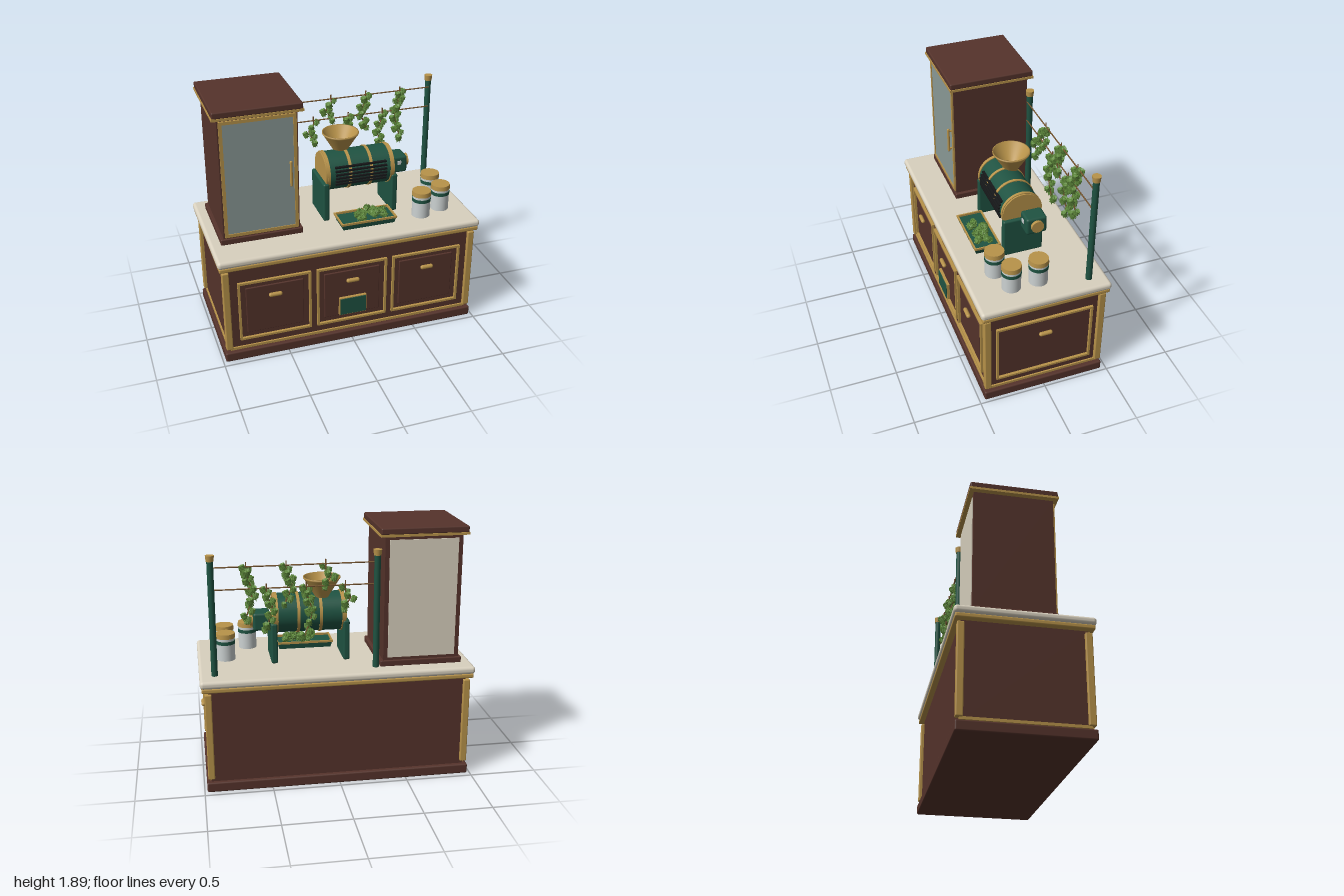
import * as THREE from 'three';
import { mergeGeometries } from 'three/addons/utils/BufferGeometryUtils.js';
import { RoundedBoxGeometry } from 'three/addons/geometries/RoundedBoxGeometry.js';

const mat = (name, color, side = THREE.FrontSide) => {
  const m = new THREE.MeshStandardMaterial({ color, side });
  m.name = name;
  return m;
};

export function createModel() {
  const root = new THREE.Group();
  root.name = 'dryingWorkbench';
  const wood = mat('dark wood', 0x55332b);
  const brass = mat('brass', 0xb8934a, THREE.DoubleSide);
  const green = mat('green enamel', 0x1f5342);
  const stone = mat('pale stone', 0xd9d1bf);
  const glass = mat('cabinet glass', 0x8b9a97);
  const black = mat('black slots', 0x17191a);
  const jarGlass = mat('jar white', 0xccd2d2);
  const hopGreen = mat('hop green', 0x5f8a3c);
  const twine = mat('twine', 0x77552f);

  let seed = 7;
  const rnd = () => (seed = (seed * 16807) % 2147483647) / 2147483647;

  const add = (name, geo, m, x = 0, y = 0, z = 0, parent = root) => {
    const mesh = new THREE.Mesh(geo, m);
    mesh.name = name;
    mesh.position.set(x, y, z);
    parent.add(mesh);
    return mesh;
  };
  const group = (name, x = 0, y = 0, z = 0) => {
    const g = new THREE.Group();
    g.name = name;
    g.position.set(x, y, z);
    root.add(g);
    return g;
  };
  // Box given by its limits on each axis, optionally with rounded edges
  const box = (name, m, [x0, x1], [y0, y1], [z0, z1], r = 0, parent = root) => {
    const s = [x1 - x0, y1 - y0, z1 - z0];
    const geo = r ? new RoundedBoxGeometry(...s, 3, r) : new THREE.BoxGeometry(...s);
    return add(name, geo, m, (x0 + x1) / 2, (y0 + y1) / 2, (z0 + z1) / 2, parent);
  };
  const cyl = (rt, rb, h, n = 32, open = false) => new THREE.CylinderGeometry(rt, rb, h, n, 1, open);
  // Rectangular frame in the xy plane
  const frameGeo = (w, h, t, d) => {
    const parts = [];
    for (const s of [-1, 1]) {
      parts.push(new THREE.BoxGeometry(w, t, d).translate(0, s * (h - t) / 2, 0));
      parts.push(new THREE.BoxGeometry(t, h - 2 * t, d).translate(s * (w - t) / 2, 0, 0));
    }
    return mergeGeometries(parts);
  };
  const pullGeo = () => new THREE.CapsuleGeometry(0.016, 0.07, 6, 12).rotateZ(Math.PI / 2);

  // Base cabinet
  box('plinth', wood, [-0.98, 0.98], [0, 0.075], [-0.46, 0.46], 0.012);
  box('cabinetBody', wood, [-0.945, 0.945], [0.07, 0.785], [-0.43, 0.43]);
  box('counterTrim', brass, [-0.99, 0.99], [0.778, 0.812], [-0.472, 0.472], 0.01);
  box('countertop', stone, [-1, 1], [0.81, 0.867], [-0.482, 0.482], 0.024);
  for (const sx of [-1, 1]) {
    for (const sz of [-1, 1])
      add('cornerPost', new RoundedBoxGeometry(0.05, 0.66, 0.05, 2, 0.008), brass, sx * 0.946, 0.43, sz * 0.43);
    box('sideBottomTrim', brass, [sx * 0.946 - 0.01, sx * 0.946 + 0.01], [0.085, 0.105], [-0.43, 0.43]);
  }
  box('frontBottomTrim', brass, [-0.94, 0.94], [0.085, 0.105], [0.42, 0.442]);

  // Front drawers and the framed panel on the end
  for (const x of [-0.59, 0, 0.59]) {
    const g = group('drawer', x, 0.41, 0.43);
    add('drawerFrame', frameGeo(0.545, 0.49, 0.016, 0.03), brass, 0, 0, 0.005, g);
    add('drawerPanel', new RoundedBoxGeometry(0.43, 0.38, 0.016, 2, 0.005), wood, 0, 0, 0.004, g);
    add('drawerPull', pullGeo(), brass, 0, 0.115, 0.03, g);
  }
  add('badgePlate', new THREE.BoxGeometry(0.2, 0.135, 0.03), green, 0, 0.308, 0.458);
  add('badgeFrame', frameGeo(0.212, 0.147, 0.007, 0.022), brass, 0, 0.308, 0.456);
  const end = group('endPanel', 0.945, 0.41, 0);
  end.rotation.y = Math.PI / 2;
  add('endFrame', frameGeo(0.73, 0.49, 0.016, 0.03), brass, 0, 0, 0.005, end);
  add('endPull', pullGeo(), brass, 0, 0.115, 0.03, end);

  // Tall drying cabinet
  const tall = group('dryingCabinet', -0.617, 0, -0.058);
  const tallBox = (name, m, w, y, d, r) => box(name, m, [-w / 2, w / 2], y, [-d / 2, d / 2], r, tall);
  tallBox('cabinetFoot', wood, 0.61, [0.862, 0.91], 0.6, 0.008);
  tallBox('cabinetShell', wood, 0.565, [0.9, 1.835], 0.575);
  tallBox('cabinetCrownTrim', brass, 0.642, [1.828, 1.846], 0.642);
  tallBox('cabinetCrown', wood, 0.635, [1.842, 1.89], 0.635, 0.01);
  add('doorGlass', new THREE.BoxGeometry(0.5, 0.85, 0.008), glass, 0, 1.367, 0.29, tall);
  add('doorFrame', frameGeo(0.545, 0.89, 0.024, 0.02), brass, 0, 1.367, 0.29, tall);
  add('doorHandle', new THREE.CapsuleGeometry(0.01, 0.18, 6, 12), brass, 0.22, 1.367, 0.318, tall);
  for (const y of [1.29, 1.445])
    add('handleMount', new THREE.BoxGeometry(0.012, 0.012, 0.03), brass, 0.22, y, 0.303, tall);
  add('backPanel', new THREE.BoxGeometry(0.5, 0.87, 0.008), stone, 0, 1.367, -0.29, tall);

  // Hanging rack
  for (const x of [-0.28, 0.89]) {
    add('rackPost', cyl(0.023, 0.023, 0.84, 20), green, x, 1.283, -0.347);
    add('rackCap', cyl(0.031, 0.027, 0.042, 20), brass, x, 1.72, -0.347);
  }
  for (const y of [1.647, 1.488])
    add('rackLine', cyl(0.005, 0.005, 1.17, 8).rotateZ(Math.PI / 2), twine, 0.305, y, -0.327);

  // Hop cone: oval core with rings of overlapping pointed scales
  const hopGeo = (() => {
    const parts = [new THREE.SphereGeometry(0.019, 10, 8).scale(1, 1.4, 1)];
    for (let ring = 0; ring < 3; ring++)
      for (let i = 0; i < 6; i++)
        parts.push(new THREE.ConeGeometry(0.011, 0.028, 5).rotateX(Math.PI - 0.55)
          .translate(0, 0.012 - ring * 0.014, 0.02 - ring * 0.003)
          .rotateY((i + ring / 2) * Math.PI / 3));
    return mergeGeometries(parts);
  })();

  // Bunches: [x, line height, length]
  for (const [x, y, len] of [[0.07, 1.647, 0.16], [0.35, 1.647, 0.27], [0.63, 1.647, 0.38],
    [-0.07, 1.488, 0.17], [0.21, 1.488, 0.36], [0.49, 1.488, 0.3]]) {
    const g = group('hopBunch', x, y, -0.327);
    const lean = 0.025;
    const path = new THREE.CatmullRomCurve3([
      new THREE.Vector3(0.015, 0.035, 0), new THREE.Vector3(0.012, -0.05, 0),
      new THREE.Vector3(-lean, -len * 0.5, 0.01), new THREE.Vector3(lean, -len, 0)]);
    add('bunchStem', new THREE.TubeGeometry(path, 14, 0.005, 6), twine, 0, 0, 0, g);
    const cones = [];
    const n = Math.round(len / 0.027);
    for (let i = 0; i <= n; i++) {
      const p = path.getPoint(0.15 + 0.85 * i / n);
      const a = i * 2.4;
      const s = 0.8 + 0.35 * rnd();
      cones.push(hopGeo.clone().scale(s, s, s).rotateZ(-Math.cos(a) * 0.4).rotateX(Math.sin(a) * 0.4)
        .translate(p.x + Math.cos(a) * 0.022, p.y - 0.015, p.z + Math.sin(a) * 0.02));
    }
    add('bunchCones', mergeGeometries(cones), hopGreen, 0, 0, 0, g);
  }

  // Drum machine, its axis along x
  const drum = group('drumMachine', 0.172, 1.213, -0.018);
  add('drumShell', cyl(0.146, 0.146, 0.5, 48).rotateZ(Math.PI / 2), green, 0, 0, 0, drum);
  for (const x of [-0.246, -0.08, 0.085, 0.246])
    add('drumBand', cyl(0.152, 0.152, 0.022, 48).rotateZ(Math.PI / 2), brass, x, 0, 0, drum);
  for (const s of [-1, 1]) {
    add('drumEnd', cyl(0.146, 0.146, 0.02, 48).rotateZ(Math.PI / 2), brass, s * 0.258, 0, 0, drum);
    add('drumLeg', new RoundedBoxGeometry(0.048, 0.306, 0.302, 3, 0.014), green, s * 0.268, -0.196, 0, drum);
  }
  for (let i = 0; i < 6; i++) {
    const y = -0.057 + i * 0.026;
    add('grilleSlat', new THREE.BoxGeometry(0.4, 0.013, 0.03), black, 0.003, y, Math.sqrt(0.146 ** 2 - y * y), drum);
  }

  // Motor on the drum's end
  box('motorShaft', brass, [0.43, 0.47], [1.16, 1.21], [-0.09, -0.04]);
  box('motorHousing', green, [0.462, 0.59], [1.115, 1.248], [-0.146, 0.008], 0.018);
  add('motorCap', cyl(0.046, 0.046, 0.024, 24).rotateZ(Math.PI / 2), brass, 0.6, 1.187, -0.068);
  box('motorSwitch', jarGlass, [0.508, 0.538], [1.185, 1.215], [0.004, 0.014]);

  // Funnel
  const funnel = [[0.05, -0.02], [0.06, 0], [0.132, 0.118], [0.137, 0.122], [0.137, 0.132], [0.128, 0.132], [0.05, 0.005], [0, 0.005]];
  add('funnel', new THREE.LatheGeometry(funnel.map(([r, y]) => new THREE.Vector2(r, y)), 40), brass, 0.075, 1.357, -0.068);

  // Collecting tray with loose cones
  const tray = group('tray', 0.175, 0.867, 0.225);
  const trayGeo = new THREE.BoxGeometry(0.42, 0.04, 0.185);
  const pos = trayGeo.attributes.position;
  for (let i = 0; i < pos.count; i++)
    if (pos.getY(i) < 0) pos.setXYZ(i, pos.getX(i) * 0.95, pos.getY(i), pos.getZ(i) * 0.92);
  trayGeo.computeVertexNormals();
  add('trayPan', trayGeo, green, 0, 0.022, 0, tray);
  add('trayRim', frameGeo(0.432, 0.198, 0.011, 0.016).rotateX(Math.PI / 2), brass, 0, 0.05, 0, tray);
  const loose = [];
  for (let i = 0; i < 20; i++) {
    const x = (rnd() - 0.5) * 0.24;
    loose.push(hopGeo.clone().rotateZ(1.2 + rnd()).rotateY(rnd() * 6.28)
      .translate(x + 0.03, 0.06 + 0.035 * rnd() * (1 - Math.abs(x) * 4), (rnd() - 0.5) * 0.11));
  }
  add('trayCones', mergeGeometries(loose), hopGreen, 0, 0, 0, tray);

  // Storage jars
  for (const [x, z] of [[0.61, 0.255], [0.79, 0.195], [0.79, -0.005]]) {
    const jar = group('jar', x, 0.867, z);
    add('jarBody', cyl(0.068, 0.068, 0.18), jarGlass, 0, 0.09, 0, jar);
    add('jarBand', cyl(0.071, 0.071, 0.026), green, 0, 0.138, 0, jar);
    add('jarLid', cyl(0.07, 0.073, 0.034), brass, 0, 0.188, 0, jar);
  }
  return root;
}
